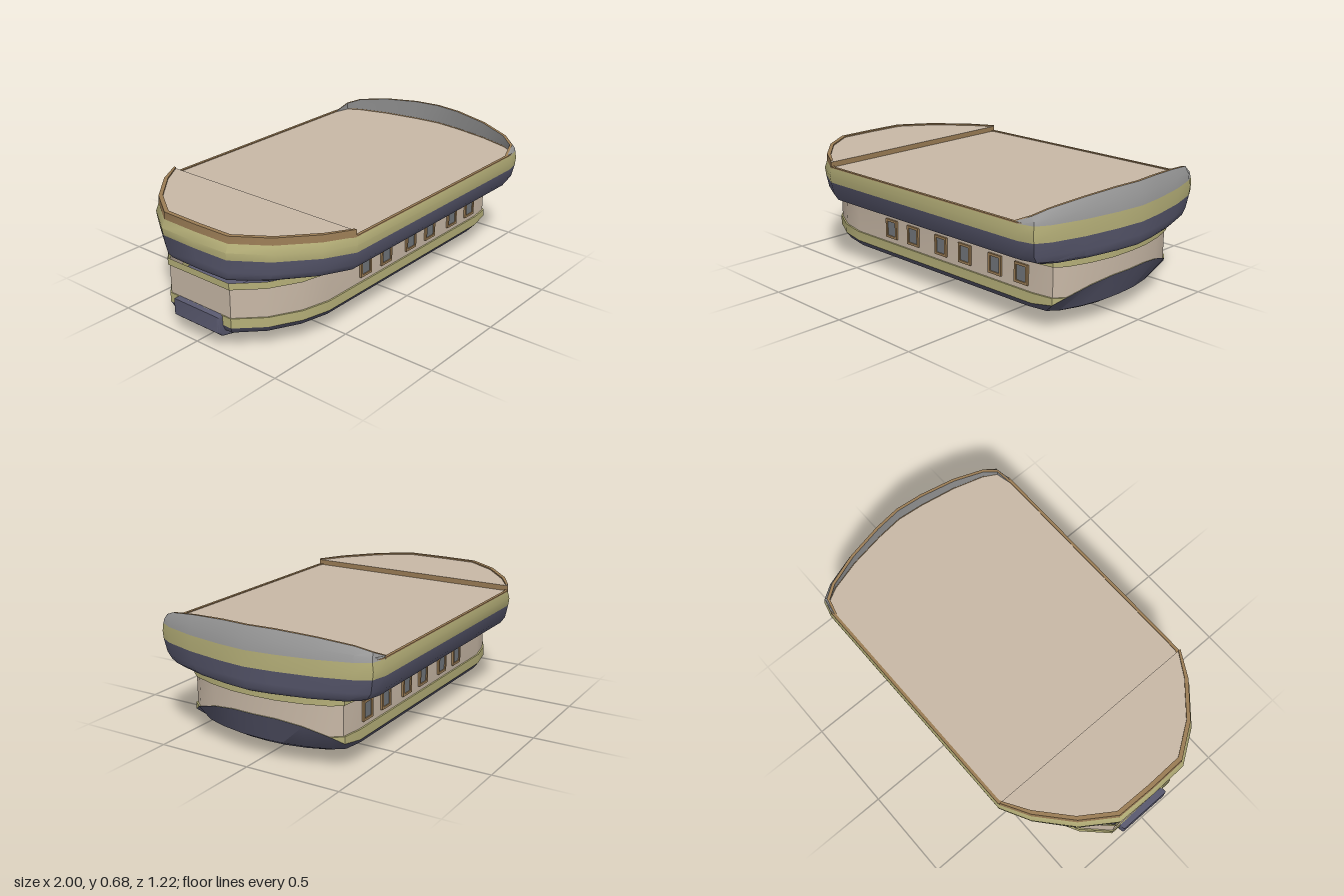
import * as THREE from 'three';
import { toCreasedNormals } from 'three/addons/utils/BufferGeometryUtils.js';

const mat = (color) => new THREE.MeshStandardMaterial({ color, side: THREE.DoubleSide });
const navy = mat(0x5a5a70), olive = mat(0xb5af78), cream = mat(0xc8b8a6);
const wood = mat(0x9a7c55), grey = mat(0x999999), glass = mat(0x70757a);

// Half plans [x, z], stern to bow
const UPPER = [[-0.99, 0], [-0.985, 0.21], [-0.87, 0.38], [-0.7, 0.53], [-0.55, 0.61],
  [0.78, 0.61], [0.86, 0.59], [0.9, 0.52], [0.95, 0.35], [0.985, 0.15], [1, 0]];
const LOWER = [[-0.97, 0], [-0.97, 0.2], [-0.85, 0.32], [-0.7, 0.4], [-0.55, 0.435],
  [0.72, 0.435], [0.83, 0.42], [0.87, 0.37], [0.91, 0.25], [0.935, 0.12], [0.94, 0]];

// Mirror a half plan into a full loop
const mirror = (half) => [...half, ...half.filter((p) => p[1] > 0).reverse().map(([x, z]) => [x, -z])];

// Cross-section ring: plan scaled in x and z, at a height (number or rule of x)
const ring = (plan, y, sx = 1, sz = sx, bowScale = sx) => plan.map(([x, z]) =>
  new THREE.Vector3(x * (x > 0 ? bowScale : sx), typeof y === 'function' ? y(x) : y, z * sz));

// Skin between successive rings
function skin(rings, closed = true) {
  const pos = [];
  const put = (...v) => v.forEach((p) => pos.push(p.x, p.y, p.z));
  for (let r = 0; r < rings.length - 1; r++) {
    const a = rings[r], b = rings[r + 1], n = a.length;
    for (let i = 0; i < (closed ? n : n - 1); i++) {
      const j = (i + 1) % n;
      put(a[i], a[j], b[j], a[i], b[j], b[i]);
    }
  }
  return finish(pos);
}

// Fan closing a convex ring
function cap(r, up = true) {
  const c = r.reduce((s, p) => s.add(p), new THREE.Vector3()).divideScalar(r.length);
  const pos = [];
  r.forEach((p, i) => {
    const q = r[(i + 1) % r.length];
    for (const v of up ? [c, p, q] : [c, q, p]) pos.push(v.x, v.y, v.z);
  });
  return finish(pos);
}

function finish(pos) {
  const g = new THREE.BufferGeometry();
  g.setAttribute('position', new THREE.Float32BufferAttribute(pos, 3));
  g.computeVertexNormals();
  return toCreasedNormals(g, 0.6);
}

// Piecewise linear rule through [x, y] pairs
const ramp = (pts) => (x) => {
  if (x <= pts[0][0]) return pts[0][1];
  for (let i = 1; i < pts.length; i++) {
    const [x0, y0] = pts[i - 1], [x1, y1] = pts[i];
    if (x <= x1) return y0 + ((y1 - y0) * (x - x0)) / (x1 - x0);
  }
  return pts[pts.length - 1][1];
};

export function createModel() {
  const model = new THREE.Group();
  const add = (name, geo, material, parent = model) => {
    const m = new THREE.Mesh(geo, material);
    m.name = name;
    parent.add(m);
    return m;
  };
  const U = mirror(UPPER), L = mirror(LOWER);

  // Lower hull: dark bottom sweeping up at the bow
  const darkTop = ramp([[0.72, 0.13], [0.83, 0.145], [0.87, 0.18], [0.91, 0.22], [0.935, 0.24]]);
  const bandTop = (x) => Math.max(0.18, darkTop(x));
  const keel = ring(L, 0.045, 0.78, 0.57, 0.8);
  add('hullBottom', skin([keel, ring(L, 0.068, 0.93, 0.81, 0.885),
    ring(L, 0.098, 0.985, 0.96, 0.936), ring(L, darkTop, 1, 1.015, 1)]), navy);
  add('hullUnderside', cap(keel, false), navy);
  add('lowerBand', skin([ring(L, darkTop, 1, 1.015, 1), ring(L, bandTop, 1, 1.015, 1), ring(L, bandTop, 0.995)]), olive);
  add('cabinWall', skin([ring(L, bandTop, 0.995), ring(L, 0.34, 0.995)]), cream);
  add('upperBand', skin([ring(L, 0.33, 0.995), ring(L, 0.33, 1.003, 1.015), ring(L, 0.365, 1.003, 1.015)]), olive);

  // Overhanging upper hull
  const under = ring(U, 0.36, 0.955, 0.73);
  add('upperHullUnderside', cap(under, false), navy);
  add('upperHull', skin([under, ring(U, 0.37, 0.975, 0.86), ring(U, 0.387, 0.985, 0.935),
    ring(U, 0.42, 0.99, 0.972), ring(U, 0.487, 1, 0.993)]), navy);
  add('upperHullBand', skin([ring(U, 0.487, 1, 0.993), ring(U, 0.525, 1.005, 1, 1), ring(U, 0.565, 0.985, 0.99, 0.998)]), olive);
  add('gunwale', skin([ring(U, 0.565, 0.985, 0.99), ring(U, 0.571, 0.985, 0.99),
    ring(U, 0.571, 0.967, 0.965), ring(U, 0.56, 0.967, 0.965)]), wood);
  add('mainDeck', cap(ring(U, 0.566, 0.97, 0.97)), cream);

  // Raised stern deck with a step and a low rail
  const sternHalf = UPPER.filter((p) => p[0] <= -0.55);
  const stern = mirror(sternHalf);
  const poop = (y) => ring(stern, y, 0.985, 0.985).map((p) => p.setX(Math.min(p.x, -0.55)));
  add('sternDeckStep', skin([poop(0.56), poop(0.594)]), wood);
  add('sternDeck', cap(poop(0.594)), cream);
  const sternRun = [...sternHalf.slice(1).reverse().map(([x, z]) => [x, -z]), ...sternHalf];
  const rail = (y, s) => ring(sternRun, y, s, s).map((p) => (p.x > -0.56 ? p.setX(-0.55) : p));
  add('sternRail', skin([rail(0.565, 0.988), rail(0.601, 0.985), rail(0.601, 0.962), rail(0.59, 0.962)], false), wood);

  // Bow bulwark, rising and leaning inward
  const bowHalf = UPPER.filter((p) => p[0] >= 0.78);
  const bow = mirror(bowHalf);
  const sheer = ramp([[0.78, 0.571], [0.86, 0.605], [0.9, 0.632], [0.95, 0.658], [0.985, 0.673], [1, 0.675]]);
  const mid = (x) => 0.565 + (sheer(x) - 0.565) * 0.5;
  add('bulwarkOuter', skin([ring(bow, 0.56, 0.998, 0.99), ring(bow, mid, 0.992, 0.985), ring(bow, sheer, 0.972, 0.975)], false), grey);
  add('bulwarkRim', skin([ring(bow, sheer, 0.972, 0.975), ring(bow, sheer, 0.957, 0.96)], false), wood);
  add('bulwarkInner', skin([ring(bow, sheer, 0.957, 0.96), ring(bow, 0.56, 0.97, 0.965)], false), grey);

  // Skid plate wrapping under the stern
  const profile = new THREE.Shape([[-0.99, 0.17], [-0.99, 0.1], [-0.965, 0.078], [-0.72, 0.022], [-0.44, 0.01],
    [-0.44, 0.06], [-0.72, 0.075], [-0.93, 0.12], [-0.95, 0.17]].map(([x, y]) => new THREE.Vector2(x, y)));
  const skid = new THREE.ExtrudeGeometry(profile, {
    depth: 0.28, bevelEnabled: true, bevelSize: 0.01, bevelThickness: 0.01, bevelSegments: 3 });
  skid.translate(0, 0, -0.14);
  add('sternSkid', toCreasedNormals(skid, 0.6), navy);

  // Framed windows on both sides
  const frame = new THREE.Shape([[-0.042, -0.05], [0.042, -0.05], [0.042, 0.05], [-0.042, 0.05]]
    .map(([x, y]) => new THREE.Vector2(x, y)));
  frame.holes.push(new THREE.Path([[-0.03, -0.038], [-0.03, 0.038], [0.03, 0.038], [0.03, -0.038]]
    .map(([x, y]) => new THREE.Vector2(x, y))));
  const frameGeo = new THREE.ExtrudeGeometry(frame, { depth: 0.016, bevelEnabled: false });
  const paneGeo = new THREE.BoxGeometry(0.062, 0.078, 0.008);
  for (const side of [1, -1]) {
    for (const x of [-0.27, -0.103, 0.105, 0.275, 0.48, 0.65]) {
      const w = new THREE.Group();
      w.name = side > 0 ? 'frontWindow' : 'backWindow';
      add('windowFrame', frameGeo, wood, w);
      add('windowPane', paneGeo, glass, w).position.z = 0.006;
      w.position.set(x, 0.258, side * 0.428);
      if (side < 0) w.rotation.y = Math.PI;
      model.add(w);
    }
  }
  return model;
}
